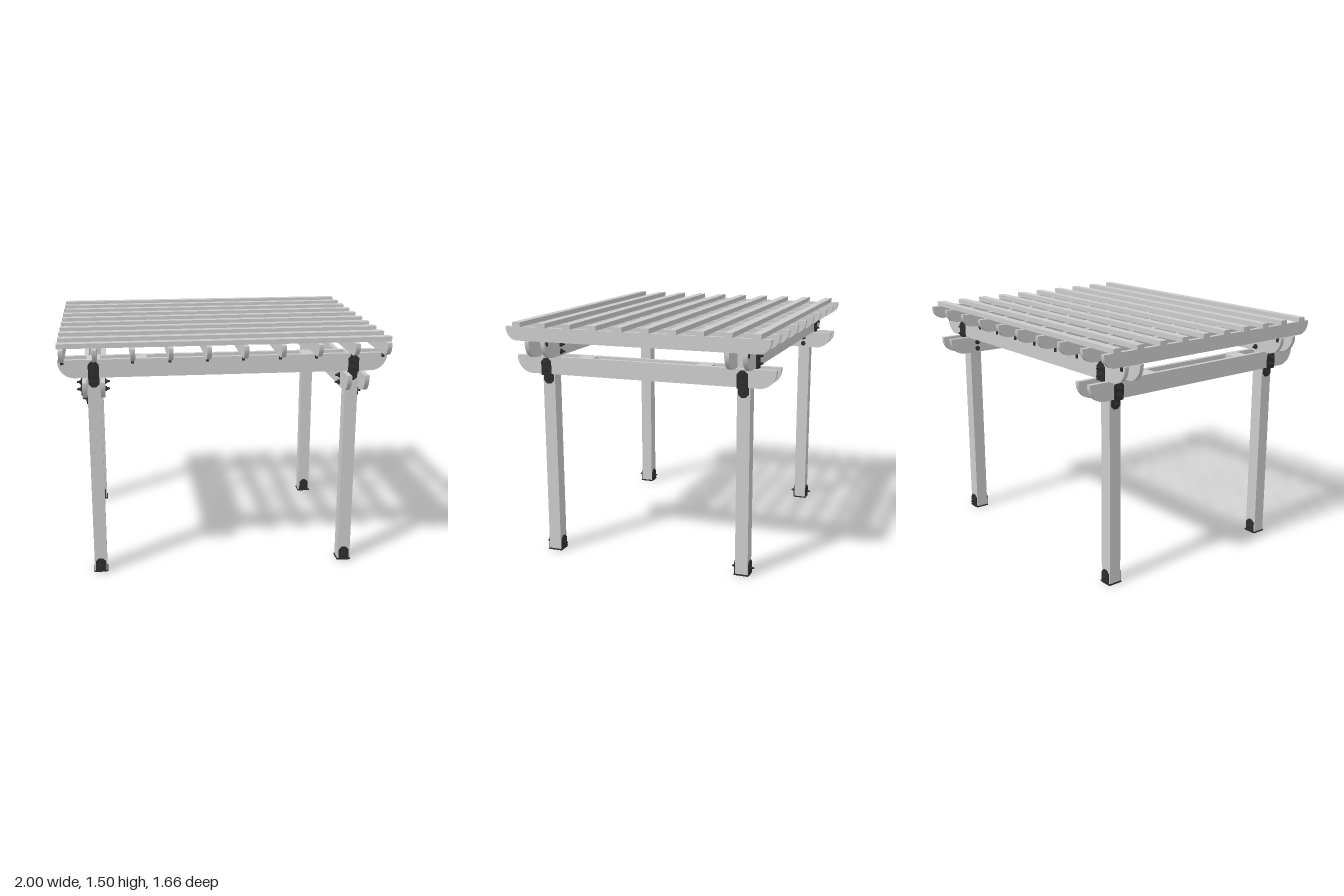
import * as THREE from 'three';
import { toCreasedNormals } from 'three/addons/utils/BufferGeometryUtils.js';

const wood = new THREE.MeshStandardMaterial({ color: 0xcccccc });
const iron = new THREE.MeshStandardMaterial({ color: 0x2e2e2e });
const THICK = 0.027;

function add(parent, name, geometry, material, x = 0, y = 0, z = 0) {
  const mesh = new THREE.Mesh(geometry, material);
  mesh.name = name;
  mesh.position.set(x, y, z);
  parent.add(mesh);
  return mesh;
}

// Plank along x with rounded lower ends, standing on y = 0, centred in z
function plankGeometry(half, height, r) {
  const s = new THREE.Shape();
  s.moveTo(-half, height);
  s.lineTo(-half, r);
  s.absarc(-half + r, r, r, Math.PI, Math.PI * 1.5, false);
  s.lineTo(half - r, 0);
  s.absarc(half - r, r, r, -Math.PI / 2, 0, false);
  s.lineTo(half, height);
  s.closePath();
  const g = new THREE.ExtrudeGeometry(s, { depth: THICK, bevelEnabled: false, curveSegments: 10 });
  g.translate(0, 0, -THICK / 2);
  return toCreasedNormals(g, 0.6);
}

// Iron plate with clipped corners at the top and/or the bottom, facing +z
function plateGeometry(w, h, clipTop, clipBottom) {
  const a = w / 2, c = 0.02;
  const pts = [];
  if (clipBottom) pts.push([-a, c], [-a + c, 0], [a - c, 0], [a, c]);
  else pts.push([-a, 0], [a, 0]);
  if (clipTop) pts.push([a, h - c], [a - c, h], [-a + c, h], [-a, h - c]);
  else pts.push([a, h], [-a, h]);
  const s = new THREE.Shape(pts.map(p => new THREE.Vector2(...p)));
  return new THREE.ExtrudeGeometry(s, { depth: 0.008, bevelEnabled: false });
}

// Bolt pointing along +z: washer, tapered head
function bolt(parent, y, z, dir = 1) {
  const b = new THREE.Group();
  b.name = 'bolt';
  add(b, 'washer', new THREE.CylinderGeometry(0.015, 0.017, 0.008, 12), iron, 0, 0.004, 0);
  add(b, 'boltHead', new THREE.CylinderGeometry(0.005, 0.01, 0.02, 6), iron, 0, 0.018, 0);
  b.rotation.x = dir * Math.PI / 2;
  b.position.set(0, y, z);
  parent.add(b);
}

// Beam connector, measured from the post axis and the beam underside
function connector(parent, y, angle) {
  const g = new THREE.Group();
  g.name = 'beamConnector';
  g.position.y = y;
  g.rotation.y = angle;
  add(g, 'upperPlate', plateGeometry(0.065, 0.1, true, false), iron, 0, 0, 0.069);
  add(g, 'lowerPlate', plateGeometry(0.065, 0.065, false, true), iron, 0, -0.065, 0.04);
  add(g, 'plateLedge', new THREE.BoxGeometry(0.065, 0.006, 0.037), iron, 0, -0.003, 0.0585);
  for (const by of [0.025, 0.07]) {
    bolt(g, by, 0.075, 1);
    bolt(g, by, -0.067, -1);
  }
  bolt(g, -0.032, 0.042, 1);
  parent.add(g);
}

export function createModel() {
  const model = new THREE.Group();
  model.name = 'pergola';
  const PX = 0.79, PZ = 0.63;
  const signs = [-1, 1];

  // Posts with base shoes and connectors
  for (const sx of signs) for (const sz of signs) {
    const post = new THREE.Group();
    post.name = 'postAssembly';
    post.position.set(sx * PX, 0, sz * PZ);
    add(post, 'post', new THREE.BoxGeometry(0.08, 1.385, 0.08), wood, 0, 0.6975, 0);
    add(post, 'basePlate', new THREE.BoxGeometry(0.09, 0.008, 0.09), iron, 0, 0.004, 0);
    for (const a of [0, Math.PI]) {
      const shoe = new THREE.Group();
      shoe.name = 'baseShoe';
      shoe.rotation.y = a;
      add(shoe, 'shoePlate', plateGeometry(0.065, 0.09, true, false), iron, 0, 0, 0.04);
      bolt(shoe, 0.042, 0.042);
      post.add(shoe);
    }
    connector(post, 1.28, sz > 0 ? 0 : Math.PI);
    connector(post, 1.17, sx * Math.PI / 2);
    model.add(post);

    // Spacer blocks between the paired beams
    add(model, 'frontBeamSpacer', new THREE.BoxGeometry(0.1, 0.108, 0.08), wood, sx * 0.52, 1.335, sz * PZ);
    add(model, 'sideBeamSpacer', new THREE.BoxGeometry(0.08, 0.108, 0.1), wood, sx * PX, 1.225, sz * 0.38);
  }

  // Paired beams: lower pair along z, upper pair along x
  const upper = plankGeometry(1, 0.11, 0.1);
  const lower = plankGeometry(0.83, 0.11, 0.1);
  for (const s of signs) for (const o of [-0.0535, 0.0535]) {
    add(model, 'upperBeam', upper, wood, 0, 1.28, s * PZ + o);
    add(model, 'lowerBeam', lower, wood, s * PX + o, 1.17, 0).rotation.y = Math.PI / 2;
  }

  // Rafters with small clips on the outer and inner beam faces
  const rafter = plankGeometry(0.83, 0.085, 0.075);
  const clip = new THREE.BoxGeometry(0.018, 0.028, 0.006);
  for (const x of [0.11, 0.335, 0.557, 0.78, 0.973]) for (const s of signs) {
    add(model, 'rafter', rafter, wood, s * x, 1.39, 0).rotation.y = Math.PI / 2;
    for (const z of [PZ + 0.07, PZ - 0.07]) for (const t of signs)
      add(model, 'rafterClip', clip, iron, s * x, 1.377, t * z);
  }

  // Top slats
  const slat = new THREE.BoxGeometry(2, 0.029, 0.052);
  for (let i = 0; i < 10; i++) add(model, 'slat', slat, wood, 0, 1.4895, -0.75 + i * 1.5 / 9);

  return model;
}
